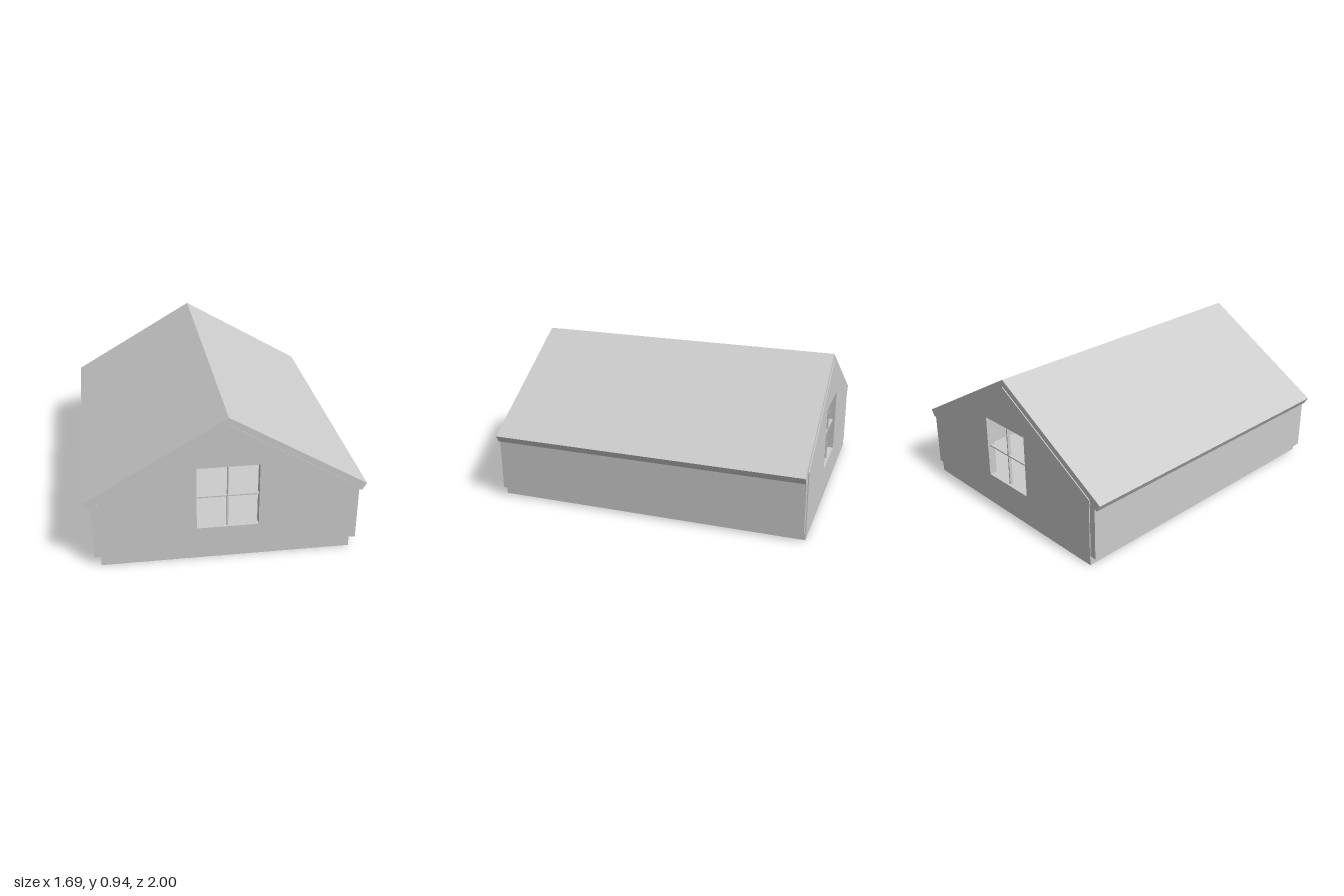
import * as THREE from 'three';

const material = new THREE.MeshStandardMaterial({ color: 0xcccccc, flatShading: true });

function addMesh(parent, name, geometry, x = 0, y = 0, z = 0) {
  const mesh = new THREE.Mesh(geometry, material);
  mesh.name = name;
  mesh.position.set(x, y, z);
  parent.add(mesh);
  return mesh;
}

function polygon(points) {
  return new THREE.Shape(points.map(([x, y]) => new THREE.Vector2(x, y)));
}

function extrude(shape, depth) {
  return new THREE.ExtrudeGeometry(shape, { depth, bevelEnabled: false });
}

export function createModel() {
  const house = new THREE.Group();
  house.name = 'house';

  const floorY = 0.06;
  const wall = 0.05;
  const win = { left: -0.185, right: 0.19, bottom: 0.21, top: 0.62 };
  const winX = (win.left + win.right) / 2;
  const winY = (win.bottom + win.top) / 2;

  // Foundation slab, whose top is the floor
  addMesh(house, 'foundation', new THREE.BoxGeometry(1.52, floorY, 1.996), 0, floorY / 2, 0);

  // Long side walls
  for (const side of [1, -1]) {
    const name = side > 0 ? 'leftWall' : 'rightWall';
    addMesh(house, name, new THREE.BoxGeometry(0.04, 0.36, 1.991), side * 0.78, 0.24, 0.0015);
  }

  // Gable end with a window opening
  const gable = polygon([[-0.76, floorY], [0.76, floorY], [0.76, 0.445], [0, 0.89], [-0.76, 0.445]]);
  gable.holes.push(polygon([
    [win.left, win.bottom], [win.left, win.top], [win.right, win.top], [win.right, win.bottom],
  ]));
  const gableGeometry = extrude(gable, wall);

  // Both gables, each with thin crossed glazing bars
  for (const [end, z] of [['front', 1 - wall], ['back', -1]]) {
    const group = new THREE.Group();
    group.name = end + 'Gable';
    group.position.z = z;
    house.add(group);
    addMesh(group, end + 'GableWall', gableGeometry);
    addMesh(group, end + 'VerticalBar',
      new THREE.BoxGeometry(0.008, win.top - win.bottom, 0.02), winX, winY, wall / 2);
    addMesh(group, end + 'HorizontalBar',
      new THREE.BoxGeometry(win.right - win.left, 0.008, 0.02), winX, winY, wall / 2);
  }

  // Pitched roof slab with square-cut eaves
  const roof = polygon([
    [0.845, 0.44], [0, 0.935], [-0.845, 0.44],
    [-0.817, 0.394], [0, 0.873], [0.817, 0.394],
  ]);
  addMesh(house, 'roof', extrude(roof, 1.991), 0, 0, -0.994);

  return house;
}
